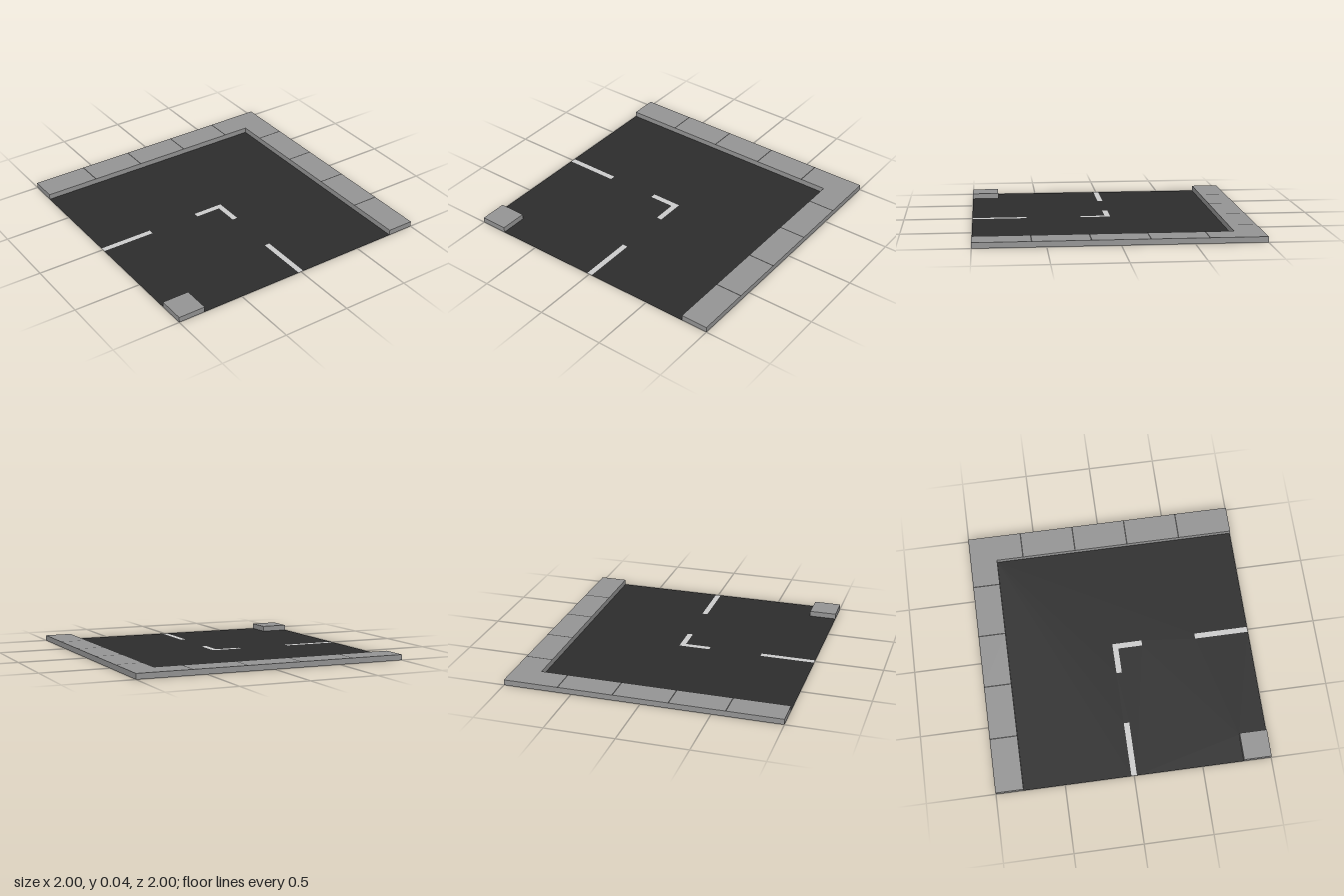
import * as THREE from 'three';

const H = 0.04;      // kerb height
const K = 0.8;       // inner edge of the pavement
const SEAM = 0.005;  // half width of a paving joint
const M = 0.02;      // half width of a road marking

const mat = (color) => new THREE.MeshStandardMaterial({ color, side: THREE.DoubleSide, flatShading: true });

export function createModel() {
  const model = new THREE.Group();
  const asphalt = mat(0x2d2d2d), paving = mat(0x949494), joint = mat(0x464646), paint = mat(0xcccccc);

  const add = (parent, name, geometry, material) => {
    const mesh = new THREE.Mesh(geometry, material);
    mesh.name = name;
    parent.add(mesh);
  };
  const group = (name) => {
    const g = new THREE.Group();
    g.name = name;
    model.add(g);
    return g;
  };
  const path = (pts) => pts.map(([x, z]) => new THREE.Vector2(x, -z));

  // Horizontal sheet from [x, z] corners, with optional holes
  const sheet = (pts, y, holes = []) => {
    const shape = new THREE.Shape(path(pts));
    holes.forEach((h) => shape.holes.push(new THREE.Path(path(h))));
    return new THREE.ShapeGeometry(shape).rotateX(-Math.PI / 2).translate(0, y, 0);
  };
  const rect = (x0, z0, x1, z1) => [[x0, z0], [x0, z1], [x1, z1], [x1, z0]];

  // Upright band of kerb faces round a closed loop of [x, z] corners
  const kerb = (loop) => {
    const pos = [];
    loop.forEach(([ax, az], i) => {
      const [bx, bz] = loop[(i + 1) % loop.length];
      pos.push(ax, 0, az, bx, 0, bz, bx, H, bz, ax, 0, az, bx, H, bz, ax, H, az);
    });
    const g = new THREE.BufferGeometry();
    g.setAttribute('position', new THREE.Float32BufferAttribute(pos, 3));
    g.computeVertexNormals();
    return g;
  };

  // Road markings fill matching openings in the road sheet
  const angle = [[-0.21, -M], [-0.21, M], [-M, M], [-M, 0.2], [M, 0.2], [M, -M]];
  const markings = group('roadMarkings');
  add(markings, 'sideLine', sheet(rect(-1, -M, -0.6, M), 0), paint);
  add(markings, 'frontLine', sheet(rect(-M, 0.6, M, 1), 0), paint);
  add(markings, 'cornerLine', sheet(angle, 0), paint);

  const road = [
    [-1, -K], [-1, -M], [-0.6, -M], [-0.6, M], [-1, M], [-1, K], [-K, K], [-K, 1],
    [-M, 1], [-M, 0.6], [M, 0.6], [M, 1], [K, 1], [K, -K],
  ];
  add(model, 'road', sheet(road, 0, [angle]), asphalt);

  // Pavement along the back and left, hollow underneath
  const pavement = group('pavement');
  add(pavement, 'kerbFaces', kerb([[-1, -K], [K, -K], [K, 1], [1, 1], [1, -1], [-1, -1]]), paving);

  // Each run is laid out along u from -1; the second run mirrors it over the corner diagonal
  const runs = [['back', (u, v) => [u, v]], ['left', (u, v) => [-v, -u]]];
  for (const [side, place] of runs) {
    const lay = (name, pts, material) =>
      add(pavement, side + name, sheet(pts.map(([u, v]) => place(u, v)), H), material);
    let start = -1;
    for (const u of [-0.6, -0.2, 0.2, 0.6]) {
      lay('Slab', rect(start, -1, u - SEAM, -K), paving);
      lay('Joint', rect(u - SEAM, -1, u + SEAM, -K), joint);
      start = u + SEAM;
    }
    // mitred end slab
    lay('CornerSlab', [[start, -1], [start, -K], [K, -K], [1, -1]], paving);
  }

  // Small pavement block on the opposite corner
  const block = group('cornerBlock');
  add(block, 'blockKerb', kerb([[-1, 1], [-K, 1], [-K, K], [-1, K]]), paving);
  add(block, 'blockTop', sheet(rect(-1, K, -K, 1), H), paving);

  return model;
}
